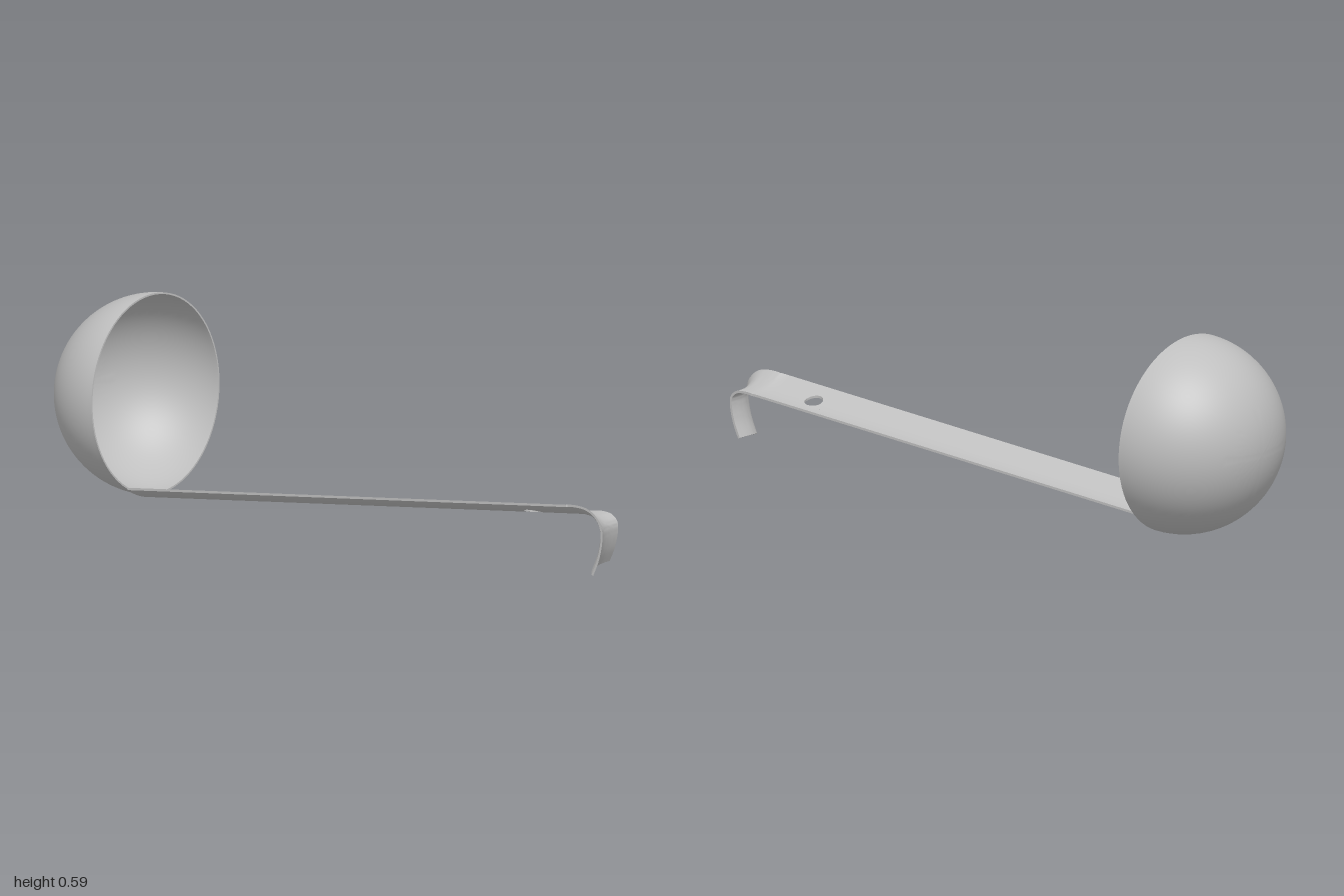
import * as THREE from 'three';
import { toCreasedNormals } from 'three/addons/utils/BufferGeometryUtils.js';

const steel = new THREE.MeshStandardMaterial({ color: 0xbfbfbf });
steel.name = 'steel';

const BACK = -0.69, BEND = 0.86, RUN = BEND - BACK, WIDTH = 0.122, THICK = 0.007;

// Hooked end of the handle, drawn as (z, y)
const hook = new THREE.SplineCurve([
  [BEND, 0.174], [0.89, 0.177], [0.925, 0.173], [0.947, 0.153],
  [0.948, 0.12], [0.937, 0.075], [0.918, 0.032],
].map(([z, y]) => new THREE.Vector2(z, y)));

// Handle surface: v 0..1 is the straight run, 1..2 the hook; u crosses the strip
function surface(v, u, depth) {
  const straight = v <= 1;
  const p = straight
    ? new THREE.Vector2(BACK + RUN * v, 0.005 + 0.109 * RUN * v)
    : hook.getPoint(Math.min(v - 1, 1));
  const t = straight ? new THREE.Vector2(1, 0.109).normalize() : hook.getTangent(Math.min(v - 1, 1));
  const power = 2 + THREE.MathUtils.smoothstep(v, 0.95, 1.3);
  const lift = 0.04 * Math.pow(1 - u, power) - depth;
  const shift = 0.108 * Math.min(1, (RUN * v) / 1.59);
  return [-0.145 + shift + WIDTH * u, p.y + t.x * lift, p.x - t.y * lift];
}

function handleGeometry() {
  const pos = [];
  const quad = (a, b, c, d) => pos.push(...a, ...b, ...c, ...a, ...c, ...d);

  // Top and underside of a patch given by f(i, j) -> [v, u]
  const patch = (f, ni, nj) => {
    for (let i = 0; i < ni; i++) for (let j = 0; j < nj; j++) {
      const k = [f(i / ni, j / nj), f((i + 1) / ni, j / nj),
        f((i + 1) / ni, (j + 1) / nj), f(i / ni, (j + 1) / nj)];
      quad(...k.map(([v, u]) => surface(v, u, 0)));
      quad(...k.reverse().map(([v, u]) => surface(v, u, THICK)));
    }
  };
  // Narrow edge wall along a path f(i) -> [v, u]
  const wall = (f, n) => {
    for (let i = 0; i < n; i++) {
      const a = f(i / n), b = f((i + 1) / n);
      quad(surface(...a, 0), surface(...b, 0), surface(...b, THICK), surface(...a, THICK));
    }
  };
  const strip = (v0, v1, n) => patch((i, j) => [v0 + (v1 - v0) * i, j], n, 16);

  // Strip with a round hanging hole
  const hv = (0.695 - BACK) / RUN, half = 0.03, rv = 0.026 / RUN, ru = 0.026 / WIDTH;
  strip(0, hv - half, 8);
  strip(hv + half, 1, 4);
  strip(1, 2, 32);
  patch((r, k) => {
    const c = Math.cos(k * Math.PI * 2), s = Math.sin(k * Math.PI * 2);
    const m = Math.max(Math.abs(c), Math.abs(s));
    return [hv + c * THREE.MathUtils.lerp(rv, half / m, r),
      0.5 + s * THREE.MathUtils.lerp(ru, 0.5 / m, r)];
  }, 5, 48);
  wall((k) => [hv + rv * Math.cos(k * Math.PI * 2), 0.5 + ru * Math.sin(k * Math.PI * 2)], 48);

  // Outer edges and both ends
  wall((i) => [2 * i, 1], 64);
  wall((i) => [2, 1 - i], 16);
  wall((i) => [2 - 2 * i, 0], 64);
  wall((i) => [0, i], 16);

  const g = new THREE.BufferGeometry();
  g.setAttribute('position', new THREE.Float32BufferAttribute(pos, 3));
  return toCreasedNormals(g, 0.7);
}

// Thin hemispherical shell: outer profile up to the rim, then back down inside
function bowlGeometry() {
  const R = 0.295, r = 0.29, N = 32, profile = [];
  for (let i = 0; i <= N; i++) {
    const a = (i / N) * Math.PI / 2;
    profile.push(new THREE.Vector2(R * Math.sin(a), -R * Math.cos(a)));
  }
  for (let i = N; i >= 0; i--) {
    const a = (i / N) * Math.PI / 2;
    profile.push(new THREE.Vector2(r * Math.sin(a), -r * Math.cos(a)));
  }
  return toCreasedNormals(new THREE.LatheGeometry(profile, 80), 0.7);
}

export function createModel() {
  const ladle = new THREE.Group();
  ladle.name = 'ladle';

  const bowl = new THREE.Mesh(bowlGeometry(), steel);
  bowl.name = 'bowl';
  bowl.position.set(0, 0.296, -0.705);
  bowl.rotation.x = Math.PI / 2 - 0.067;

  const handle = new THREE.Mesh(handleGeometry(), steel);
  handle.name = 'handle';

  ladle.add(bowl, handle);
  return ladle;
}
